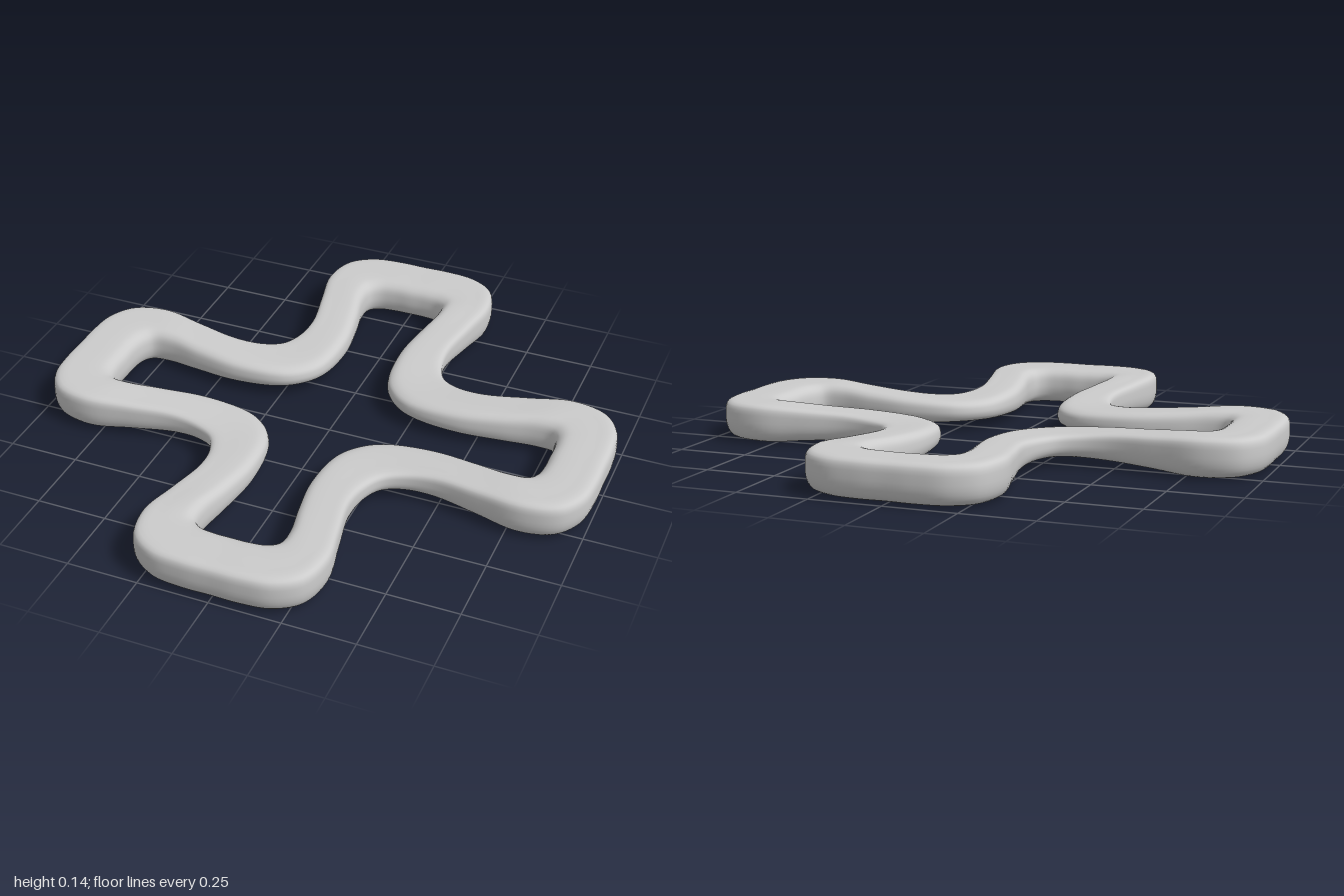
import * as THREE from 'three';

// Stations over one eighth of the band, from arm tip to inner corner:
// outer x, outer z, inner x, inner z, half height
const STATIONS = [
  [1.0, 0, 0.8, 0, 0.068],
  [1.0, 0.1, 0.8, 0.06, 0.069],
  [0.985, 0.21, 0.79, 0.115, 0.069],
  [0.925, 0.295, 0.765, 0.144, 0.069],
  [0.8, 0.328, 0.7, 0.148, 0.068],
  [0.65, 0.302, 0.58, 0.125, 0.058],
  [0.49, 0.273, 0.42, 0.104, 0.049],
  [0.39, 0.284, 0.25, 0.124, 0.042],
  [0.32, 0.32, 0.173, 0.173, 0.04],
];

// Soft rectangular section: u from inner (-1) to outer (1), v from bottom to top
const SECTION = [
  [1, 0.3], [0.95, 0.8], [0.78, 0.98], [0.3, 1], [-0.3, 0.99], [-0.68, 0.92],
  [-0.92, 0.65], [-1, 0.15], [-0.99, -0.3], [-0.88, -0.72], [-0.6, -0.95],
  [0, -1], [0.5, -0.97], [0.82, -0.78], [0.97, -0.35],
];

const closedCurve = (points) => new THREE.CatmullRomCurve3(points, true, 'centripetal');

// Mirror the eighth across the diagonal, then turn the quarter four times
function railCurve(column) {
  const eighth = STATIONS.map((s) => [s[column], s[column + 1], s[4]]);
  const mirrored = eighth.slice(1, -1).reverse().map(([x, z, h]) => [z, x, h]);
  let quarter = [...eighth, ...mirrored];
  const points = [];
  for (let q = 0; q < 4; q++) {
    points.push(...quarter.map(([x, z, h]) => new THREE.Vector3(x, h, z)));
    quarter = quarter.map(([x, z, h]) => [-z, x, h]);
  }
  return closedCurve(points);
}

// Sweep the section between the outer and inner rails as one closed loop
function bandGeometry(around, sides) {
  const outer = railCurve(0);
  const inner = railCurve(2);
  const section = closedCurve(SECTION.map(([u, v]) => new THREE.Vector3(u, v, 0)));
  const ring = Array.from({ length: sides }, (_, j) => section.getPoint(j / sides));
  const positions = [];
  const index = [];
  for (let i = 0; i < around; i++) {
    const o = outer.getPoint(i / around);
    const n = inner.getPoint(i / around);
    for (let j = 0; j < sides; j++) {
      const p = n.clone().lerp(o, (ring[j].x + 1) / 2);
      positions.push(p.x, 0.069 + o.y * ring[j].y, p.z);
      const i2 = (i + 1) % around;
      const j2 = (j + 1) % sides;
      const a = i * sides + j, b = i * sides + j2;
      const c = i2 * sides + j2, d = i2 * sides + j;
      index.push(a, b, d, b, c, d);
    }
  }
  const geometry = new THREE.BufferGeometry();
  geometry.setAttribute('position', new THREE.Float32BufferAttribute(positions, 3));
  geometry.setIndex(index);
  geometry.computeVertexNormals();
  return geometry;
}

export function createModel() {
  const group = new THREE.Group();
  group.name = 'crossShapedRing';
  const band = new THREE.Mesh(
    bandGeometry(320, 45),
    new THREE.MeshStandardMaterial({ color: 0xcccccc })
  );
  band.name = 'crossBand';
  group.add(band);
  return group;
}
